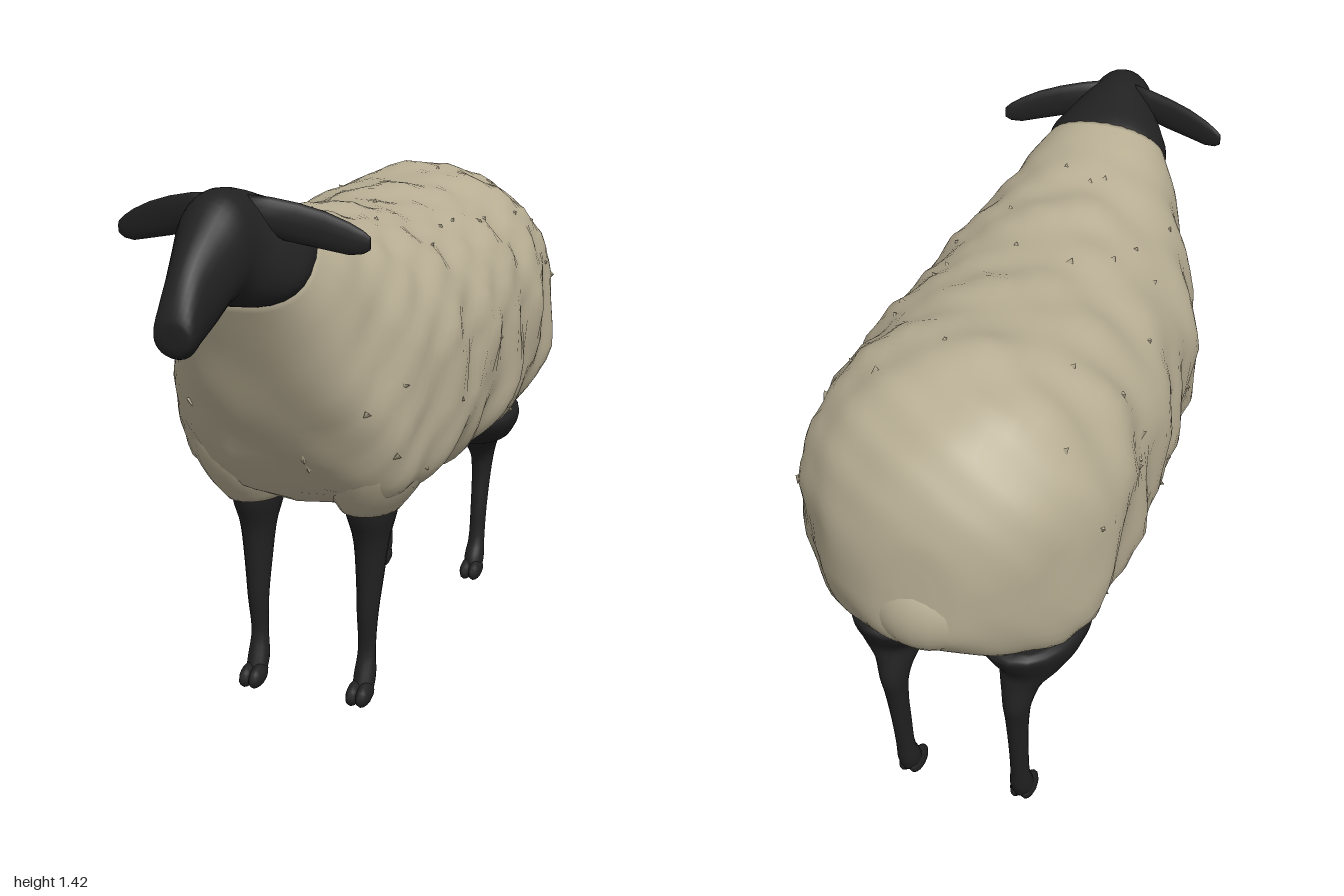
import * as THREE from 'three';
import { mergeGeometries } from 'three/addons/utils/BufferGeometryUtils.js';

const wool = new THREE.MeshStandardMaterial({ color: 0xb7ad93 });
wool.name = 'wool';
const dark = new THREE.MeshStandardMaterial({ color: 0x212121 });
dark.name = 'dark hide';

const V = (x, y, z) => new THREE.Vector3(x, y, z);

// Skin closed rings of points, with a fan cap at both ends
function skin(rings) {
  const n = rings[0].length, m = rings.length, pos = [], idx = [];
  const mid = (r) => r.reduce((s, p) => s.add(p), V(0, 0, 0)).divideScalar(n);
  rings.forEach((r) => r.forEach((p) => pos.push(p.x, p.y, p.z)));
  const first = mid(rings[0]), last = mid(rings[m - 1]);
  pos.push(...first.toArray(), ...last.toArray());
  const r = rings[m >> 1], c = mid(r), q = n >> 2;
  const normal = r[0].clone().sub(c).cross(r[q].clone().sub(c));
  const flip = normal.dot(last.clone().sub(first)) < 0;
  const tri = (a, b, d) => (flip ? idx.push(a, d, b) : idx.push(a, b, d));
  for (let j = 0; j < n; j++) {
    const k = (j + 1) % n;
    for (let i = 0; i < m - 1; i++) {
      const a = i * n + j, b = i * n + k;
      tri(a, b, b + n);
      tri(a, b + n, a + n);
    }
    tri(m * n, k, j);
    tri(m * n + 1, (m - 1) * n + j, (m - 1) * n + k);
  }
  const g = new THREE.BufferGeometry();
  g.setAttribute('position', new THREE.Float32BufferAttribute(pos, 3));
  g.setIndex(idx);
  g.computeVertexNormals();
  return g;
}

// Sections [topY, topZ, bottomY, bottomZ, halfWidth], smoothed along their length;
// lowerPower(t) squares off the underside
function sectionRings(sections, count, seg, lowerPower, lump = () => 0) {
  const top = new THREE.CatmullRomCurve3(sections.map((s) => V(s[4], s[0], s[1])));
  const bottom = new THREE.CatmullRomCurve3(sections.map((s) => V(s[4], s[2], s[3])));
  return Array.from({ length: count }, (_, i) => {
    const u = i / (count - 1);
    const a = top.getPoint(u), b = bottom.getPoint(u), w = a.x;
    a.x = b.x = 0;
    const c = a.clone().add(b).multiplyScalar(0.5), up = a.clone().sub(c);
    return Array.from({ length: seg }, (_, j) => {
      const t = (j / seg) * Math.PI * 2, cs = Math.cos(t), sn = Math.sin(t);
      const e = sn < 0 ? lowerPower(u) : 0.95;
      const p = up.clone().multiplyScalar(Math.sign(sn) * Math.abs(sn) ** e);
      p.x = w * Math.sign(cs) * Math.abs(cs) ** e;
      const k = 1 + lump(c.clone().add(p), u, sn);
      return c.clone().add(p.multiplyScalar(k));
    });
  });
}

// Horizontal oval sections [y, frontZ, backZ, innerX, outerX], mirrored by side
function limb(sections, side, seg = 14) {
  const rows = [4, 3].map((k) => new THREE.CatmullRomCurve3(sections.map((s) => V(s[k], s[0], s[k === 4 ? 1 : 2]))));
  const count = sections.length * 3;
  return skin(Array.from({ length: count }, (_, i) => {
    const o = rows[0].getPoint(i / (count - 1)), n = rows[1].getPoint(i / (count - 1));
    return Array.from({ length: seg }, (_, j) => {
      const t = (j / seg) * Math.PI * 2;
      return V(side * ((o.x + n.x) / 2 + ((o.x - n.x) / 2) * Math.cos(t)), o.y,
        (o.z + n.z) / 2 + ((o.z - n.z) / 2) * Math.sin(t));
    });
  }));
}

export function createModel() {
  const group = new THREE.Group();
  const add = (name, geometry, material) => {
    const mesh = new THREE.Mesh(geometry, material);
    mesh.name = name;
    group.add(mesh);
    return mesh;
  };

  // Fleece, from the neck opening to the rump, with rolling lumps
  const lump = (p, t, sn) => {
    const fade = Math.min(1, t * 7) * Math.min(1, (1 - t) * 8 + 0.3);
    const roll = 0.02 * Math.cos((p.z + 0.2) * 29 + p.y * 2.5) * (1 - 0.7 * Math.abs(sn));
    const knobs = 0.024 * Math.sin(p.z * 17 + p.x * 9) * Math.sin(p.y * 15 + p.x * 13 + 1);
    const fine = 0.018 * Math.sin(p.z * 33 + p.y * 11 - p.x * 7) * Math.sin(p.y * 29 - p.x * 25);
    return fade * (roll + knobs + fine);
  };
  const bodyRings = sectionRings([
    [1.36, 0.53, 1.15, 0.69, 0.162],
    [1.34, 0.45, 1.00, 0.62, 0.218],
    [1.32, 0.36, 0.82, 0.54, 0.265],
    [1.305, 0.25, 0.67, 0.45, 0.315],
    [1.295, 0.15, 0.565, 0.34, 0.355],
    [1.285, 0.05, 0.56, 0.18, 0.375],
    [1.28, -0.08, 0.565, -0.03, 0.38],
    [1.285, -0.20, 0.56, -0.20, 0.395],
    [1.295, -0.36, 0.565, -0.36, 0.395],
    [1.31, -0.50, 0.565, -0.50, 0.39],
    [1.315, -0.62, 0.57, -0.65, 0.385],
    [1.285, -0.75, 0.585, -0.77, 0.355],
    [1.22, -0.86, 0.64, -0.85, 0.285],
    [1.13, -0.93, 0.69, -0.92, 0.20],
    [1.04, -0.965, 0.745, -0.97, 0.115],
    [0.96, -0.975, 0.80, -0.985, 0.04],
  ], 80, 52, (t) => Math.max(0.6, 0.8 - t), lump);
  add('fleece', skin(bodyRings), wool);

  const tail = add('tail', new THREE.SphereGeometry(1, 20, 14), wool);
  tail.scale.set(0.13, 0.12, 0.10);
  tail.position.set(0, 0.815, -0.90);

  // Small loose tufts scattered over the flanks and back
  let seed = 7;
  const rand = () => (seed = (seed * 16807) % 2147483647) / 2147483647;
  const tufts = [];
  for (let k = 0; k < 70; k++) {
    const ring = bodyRings[12 + Math.floor(rand() * 48)];
    const p = ring[Math.floor(rand() * 52)];
    const out = V(p.x, p.y - 0.93, (rand() - 0.5) * 0.5).normalize();
    const g = new THREE.ConeGeometry(0.015, 0.018, 3);
    g.applyQuaternion(new THREE.Quaternion().setFromUnitVectors(V(0, 1, 0), out));
    tufts.push(g.translate(p.x, p.y, p.z));
  }
  add('fleeceTufts', mergeGeometries(tufts), wool);

  // Neck, skull and muzzle
  add('head', skin(sectionRings([
    [1.335, 0.49, 1.13, 0.63, 0.155],
    [1.364, 0.535, 1.14, 0.70, 0.168],
    [1.39, 0.62, 1.15, 0.735, 0.142],
    [1.415, 0.72, 1.165, 0.78, 0.10],
    [1.41, 0.79, 1.15, 0.82, 0.088],
    [1.355, 0.86, 1.115, 0.87, 0.07],
    [1.29, 0.925, 1.085, 0.925, 0.054],
    [1.235, 0.965, 1.075, 0.95, 0.05],
    [1.17, 0.996, 1.085, 0.985, 0.044],
    [1.145, 0.998, 1.105, 0.995, 0.02],
  ], 36, 28, (t) => Math.min(1, 0.72 + t * 0.6))), dark);

  for (const side of [1, -1]) {
    const tag = side > 0 ? 'left' : 'right';

    // Flat leaf-shaped ear: [x, topY, bottomY, z, half thickness]
    const ear = [
      [0.05, 1.40, 1.32, 0.715, 0.022],
      [0.10, 1.395, 1.305, 0.70, 0.02],
      [0.16, 1.383, 1.292, 0.685, 0.014],
      [0.22, 1.365, 1.28, 0.672, 0.012],
      [0.27, 1.343, 1.27, 0.66, 0.01],
      [0.30, 1.325, 1.273, 0.652, 0.008],
      [0.315, 1.312, 1.282, 0.649, 0.005],
    ].map(([x, t, b, z, d]) => Array.from({ length: 12 }, (_, j) => {
      const a = (j / 12) * Math.PI * 2;
      return V(side * x, (t + b) / 2 + ((t - b) / 2) * Math.sin(a), z + d * Math.cos(a));
    }));
    add(tag + 'Ear', skin(ear), dark);

    // Woolly shoulder bulge running down into the front leg
    add(tag + 'ShoulderFleece', limb([
      [0.90, 0.42, 0.06, 0.05, 0.31],
      [0.78, 0.445, 0.04, 0.04, 0.325],
      [0.68, 0.435, 0.04, 0.04, 0.32],
      [0.60, 0.395, 0.08, 0.055, 0.285],
      [0.54, 0.345, 0.135, 0.085, 0.24],
    ], side, 24), wool);

    add(tag + 'FrontLeg', limb([
      [0.62, 0.33, 0.14, 0.095, 0.225],
      [0.53, 0.325, 0.145, 0.096, 0.228],
      [0.45, 0.295, 0.175, 0.115, 0.21],
      [0.34, 0.285, 0.20, 0.125, 0.197],
      [0.24, 0.282, 0.222, 0.13, 0.187],
      [0.14, 0.272, 0.228, 0.132, 0.18],
      [0.07, 0.295, 0.23, 0.126, 0.185],
      [0.03, 0.31, 0.25, 0.128, 0.184],
    ], side), dark);

    add(tag + 'HindLeg', limb([
      [0.60, -0.41, -0.79, 0.08, 0.275],
      [0.582, -0.375, -0.815, 0.02, 0.305],
      [0.548, -0.41, -0.80, 0.03, 0.302],
      [0.50, -0.50, -0.775, 0.085, 0.272],
      [0.455, -0.63, -0.78, 0.11, 0.22],
      [0.40, -0.695, -0.79, 0.125, 0.198],
      [0.34, -0.71, -0.775, 0.13, 0.19],
      [0.22, -0.70, -0.755, 0.133, 0.183],
      [0.12, -0.69, -0.74, 0.132, 0.182],
      [0.07, -0.665, -0.735, 0.126, 0.186],
      [0.03, -0.655, -0.72, 0.128, 0.184],
    ], side, 20), dark);

    // Cloven hooves: two toes per foot
    for (const [name, z] of [['FrontHoof', 0.298], ['HindHoof', -0.675]]) {
      const toes = [0.141, 0.169].map((x) => new THREE.SphereGeometry(1, 12, 8)
        .scale(0.02, 0.03, 0.05).rotateX(0.15).translate(side * x, 0.031, z));
      add(tag + name, mergeGeometries(toes), dark);
    }
  }
  return group;
}
